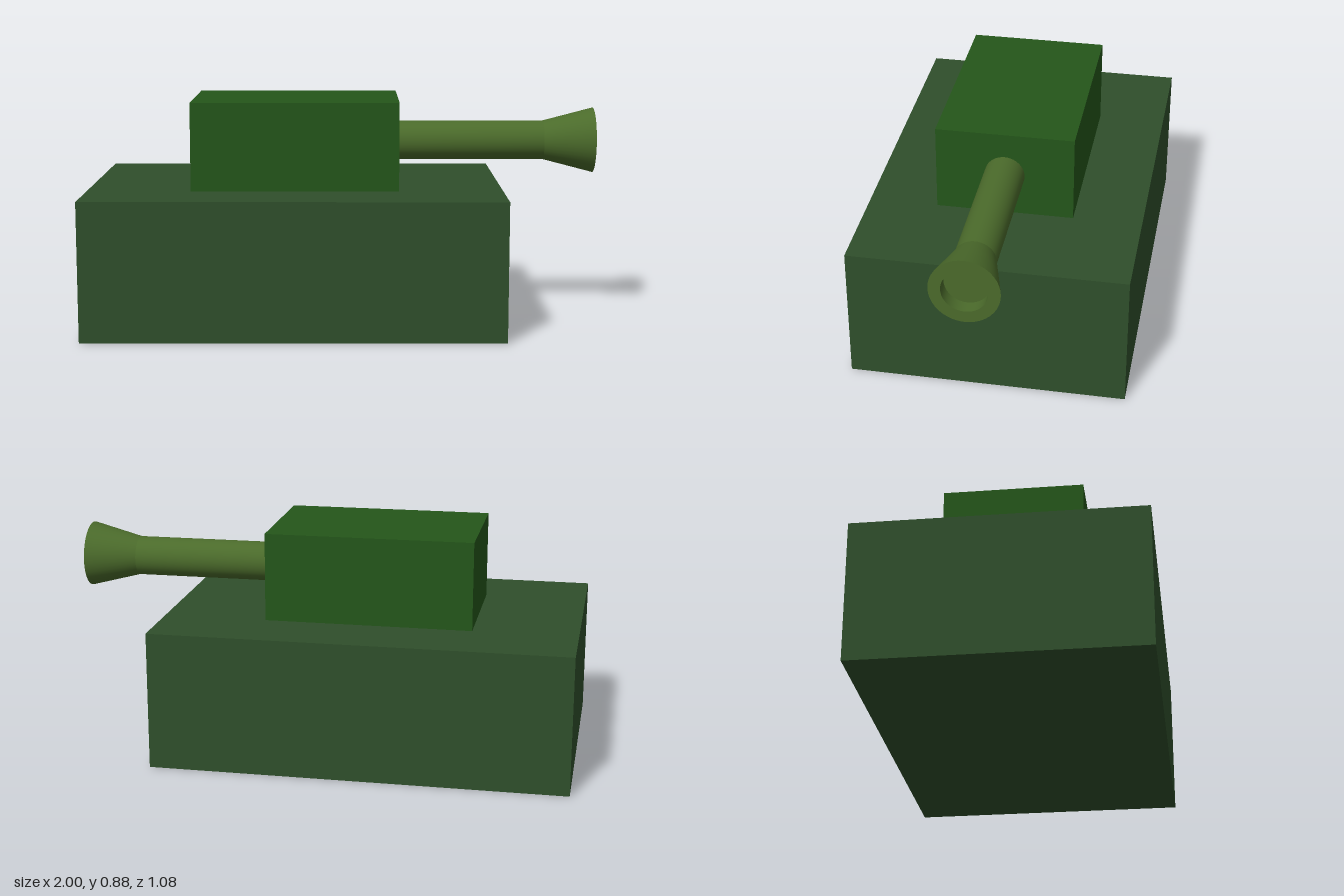
import * as THREE from 'three';
import { toCreasedNormals } from 'three/addons/utils/BufferGeometryUtils.js';

const paint = (color) => new THREE.MeshStandardMaterial({ color });

function box(name, size, centre, color) {
  const mesh = new THREE.Mesh(new THREE.BoxGeometry(...size), paint(color));
  mesh.name = name;
  mesh.position.set(...centre);
  return mesh;
}

export function createModel() {
  const model = new THREE.Group();
  model.name = 'tank';

  // Hull and turret
  model.add(box('hull', [1.62, 0.54, 1.08], [-0.19, 0.27, 0], 0x2f4f2b));
  model.add(box('turret', [0.81, 0.345, 0.54], [-0.19, 0.7125, 0], 0x24561a));

  // Barrel with flared muzzle and shallow bore: [radius, x]
  const profile = [
    [0, 0.2], [0.078, 0.2], [0.078, 0.8], [0.13, 1],
    [0.085, 1], [0.085, 0.945], [0, 0.945],
  ].map(([r, x]) => new THREE.Vector2(r, x));
  const barrel = new THREE.Mesh(
    toCreasedNormals(new THREE.LatheGeometry(profile, 40), 0.22),
    paint(0x4b6b2b)
  );
  barrel.name = 'barrel';
  barrel.rotation.z = -Math.PI / 2;
  barrel.position.y = 0.71;
  model.add(barrel);

  return model;
}
